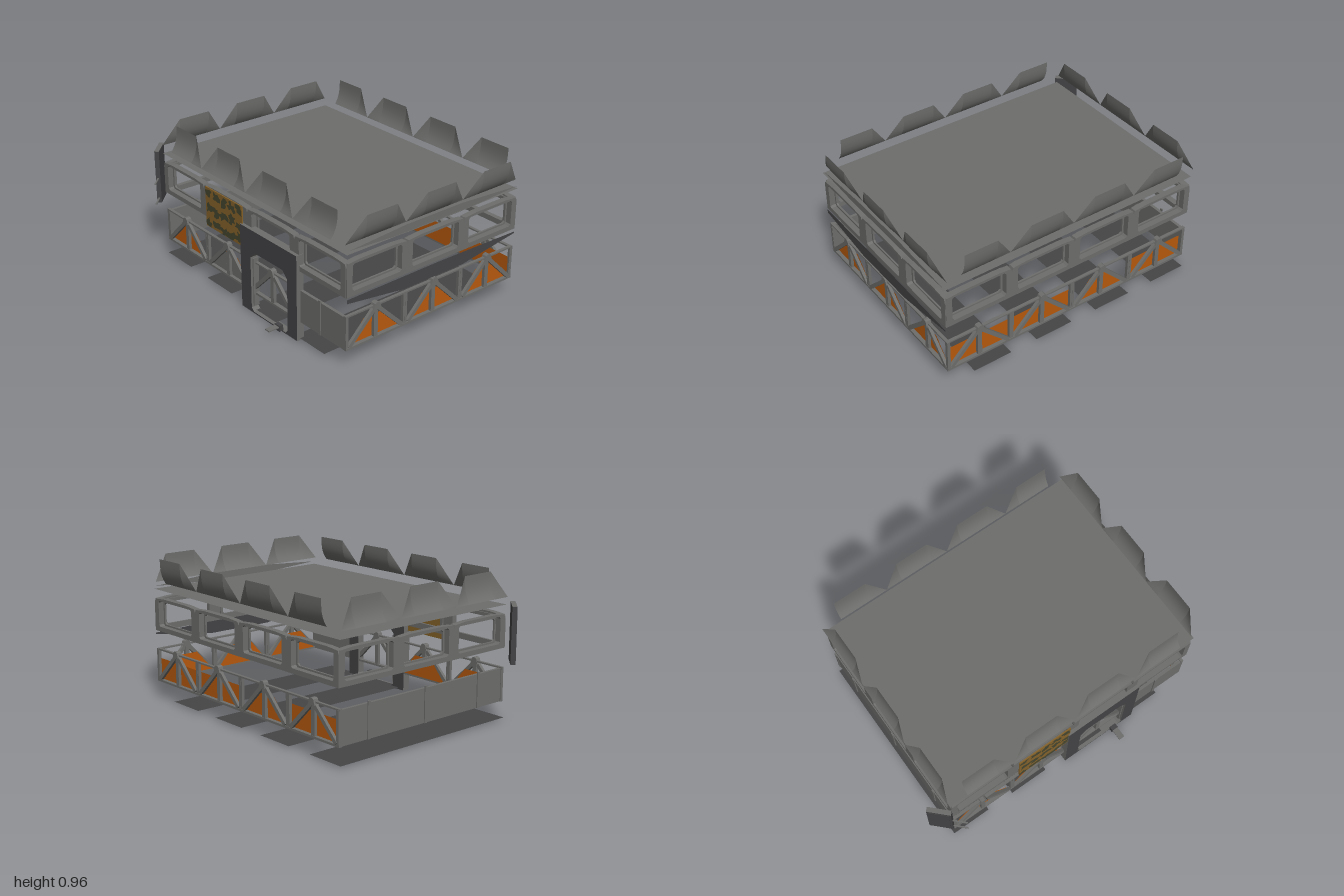
import * as THREE from 'three';

const mat = (name, color) => {
  const m = new THREE.MeshStandardMaterial({ color, side: THREE.DoubleSide });
  m.name = name;
  return m;
};

export function createModel() {
  const model = new THREE.Group();
  model.name = 'modularBuildingKit';
  const steel = mat('steel grey', 0x6e6e6c);
  const dark = mat('dark frame', 0x444446);
  const floorMat = mat('floor charcoal', 0x454547);
  const orange = mat('orange panel', 0xb85a0e);
  const ochre = mat('ochre', 0x86632a);
  const green = mat('dark green', 0x45462f);

  const add = (parent, name, geo, material, x = 0, y = 0, z = 0) => {
    const m = new THREE.Mesh(geo, material);
    m.name = name;
    m.position.set(x, y, z);
    parent.add(m);
    return m;
  };
  const box = (p, name, material, w, h, d, x, y, z) =>
    add(p, name, new THREE.BoxGeometry(w, h, d), material, x, y, z);
  const vec = pts => pts.map(q => new THREE.Vector2(q[0], q[1]));
  const poly = pts => new THREE.Shape(vec(pts));
  const extrude = (shape, depth) => new THREE.ExtrudeGeometry(shape, { depth, bevelEnabled: false });
  // rectangle with cut corners, c at the bottom and t at the top
  const cutRect = (x0, y0, x1, y1, c, t = c) => [[x0 + c, y0], [x1 - c, y0], [x1, y0 + c],
    [x1, y1 - t], [x1 - t, y1], [x0 + t, y1], [x0, y1 - t], [x0, y0 + c]];
  // flat bar between two points of a wall
  const bar = (p, name, a, b, w, d, z) => {
    const m = box(p, name, steel, Math.hypot(b[0] - a[0], b[1] - a[1]), w, d,
      (a[0] + b[0]) / 2, (a[1] + b[1]) / 2, z);
    m.rotation.z = Math.atan2(b[1] - a[1], b[0] - a[0]);
  };
  // thin horizontal sheet
  const sheet = (p, name, material, w, d, x, y, z) => {
    const m = add(p, name, new THREE.PlaneGeometry(w, d), material, x, y, z);
    m.rotation.x = -Math.PI / 2;
  };

  const W = 0.456; // width of one wall module

  // open truss module with posts, diagonals and top bracket
  function truss(p, u) {
    const c = u + W / 2;
    bar(p, 'bottomRail', [u, 0.125], [u + W, 0.125], 0.014, 0.025, -0.015);
    bar(p, 'topRail', [u, 0.337], [u + W, 0.337], 0.01, 0.02, -0.015);
    bar(p, 'centrePost', [c, 0.12], [c, 0.34], 0.03, 0.02, -0.015);
    for (const s of [-1, 1]) {
      bar(p, 'endPost', [c + s * (W / 2 - 0.008), 0.12], [c + s * (W / 2 - 0.008), 0.34], 0.015, 0.02, -0.015);
      bar(p, 'diagonal', [c, 0.335], [c + s * (W / 2 - 0.025), 0.135], 0.026, 0.02, -0.01);
    }
    const bracket = poly([[-0.03, 0.32], [0.03, 0.32], [0.018, 0.355], [0.008, 0.362], [-0.008, 0.362], [-0.018, 0.355]]);
    add(p, 'topBracket', extrude(bracket, 0.035), steel, c, 0, -0.028);
  }

  // infill sheet, either a full rectangle or cut along the diagonals
  function infill(p, u, full, material, z) {
    const pts = full ? [[0.01, 0.13], [W - 0.01, 0.13], [W - 0.01, 0.27], [0.01, 0.27]]
      : [[0.03, 0.13], [W - 0.03, 0.13], [W / 2 + 0.075, 0.27], [W / 2 - 0.075, 0.27]];
    add(p, 'infillSheet', new THREE.ShapeGeometry(poly(pts)), material, u, 0, z);
  }

  // plain closed wall module
  function plate(p, u) {
    box(p, 'closedPanel', steel, W, 0.215, 0.02, u + W / 2, 0.2275, -0.015);
    bar(p, 'panelRib', [u + W / 2, 0.12], [u + W / 2, 0.35], 0.02, 0.008, -0.002);
  }

  // window frame with a narrower lip set behind it
  function windowFrame(p, u) {
    const s = poly([[0, 0.465], [W, 0.465], [W, 0.655], [W - 0.008, 0.678],
      [W - 0.1, 0.686], [0.1, 0.686], [0.008, 0.678], [0, 0.655]]);
    s.holes.push(new THREE.Path(vec(cutRect(0.042, 0.496, W - 0.042, 0.668, 0.012))));
    add(p, 'windowFrame', extrude(s, 0.04), steel, u, 0, -0.04);
    const lip = poly(cutRect(0.036, 0.49, W - 0.036, 0.674, 0.012));
    lip.holes.push(new THREE.Path(vec(cutRect(0.055, 0.507, W - 0.055, 0.652, 0.012))));
    add(p, 'windowLip', extrude(lip, 0.012), steel, u, 0, -0.05);
  }

  // strip of surface between two edges, each a list of points
  function strip(p, e, f) {
    const g = new THREE.BufferGeometry();
    const index = [];
    for (let i = 0; i < e.length - 1; i++)
      index.push(2 * i, 2 * i + 1, 2 * i + 3, 2 * i, 2 * i + 3, 2 * i + 2);
    g.setAttribute('position', new THREE.Float32BufferAttribute(e.flatMap((v, i) => [...v, ...f[i]]), 3));
    g.setIndex(index);
    g.computeVertexNormals();
    add(p, 'roofFlap', g, steel);
  }

  // curved roof-edge flap with a tapering wing on each side
  function flap(p, u, left, right, base, lean) {
    const rows = [0, 0.08, 0.2, 0.35, 0.55, 0.78, 1];
    const edge = (x0, x1, curved) => rows.map(t => [x0 + (x1 - x0) * t, 0.79 + 0.167 * t,
      base + lean * (curved ? 1 - (1 - t) ** 3 : t)]);
    const a = u + 0.115, b = u + W - 0.115;
    const ea = edge(a, a, true), eb = edge(b, b, true);
    strip(p, ea, eb);
    if (left) strip(p, edge(u, a, false), ea);
    if (right) strip(p, eb, edge(u + W, b, false));
  }

  // walls: local x runs along the wall, local +z points outwards
  const walls = [
    { name: 'frontWall', turn: 0, off: 0.64, u: -0.86, n: 4, base: 0.012, lean: -0.05 },
    { name: 'leftSideWall', turn: Math.PI / 2, off: 0.97, u: -0.635, n: 3, base: -0.02, lean: 0.05 },
    { name: 'backWall', turn: Math.PI, off: 0.735, u: -0.965, n: 4, base: -0.015, lean: 0.042 },
    { name: 'rightSideWall', turn: -Math.PI / 2, off: 0.86, u: -0.733, n: 3, base: 0.015, lean: -0.045 },
  ];
  walls.forEach((w, k) => {
    const g = new THREE.Group();
    g.name = w.name;
    g.rotation.y = w.turn;
    g.position.set(Math.sin(w.turn) * w.off, 0, Math.cos(w.turn) * w.off);
    model.add(g);
    for (let i = 0; i < w.n; i++) {
      const u = w.u + i * W;
      windowFrame(g, u);
      flap(g, u, w.n === 3 || i > 0, w.n === 3 || i < 3, w.base, w.lean);
      if (k === 3 || (k === 0 && i === 3)) plate(g, u);
      else truss(g, u);
      if (k === 1 || (k === 0 && i < 2)) infill(g, u, false, orange, -0.028);
      if (k === 0 && i === 1) infill(g, u, false, steel, -0.024);
      if (k === 2) infill(g, u, i !== 2, orange, -0.028);
    }
  });

  // roof sheet and floor strips
  sheet(model, 'roofSheet', steel, 1.84, 1.37, 0.055, 0.74, -0.045);
  for (let i = 0; i < 4; i++)
    sheet(model, 'floorStrip', floorMat, 0.27, 1.37, -0.735 + i * 0.46, 0.012, -0.045);

  // long tapered sheets along one side
  const sheets = [
    [steel, [[0.62, 0.76], [0.2, 0.735], [-0.25, 0.735], [-0.73, 0.757], [-0.25, 0.787], [0.2, 0.787]]],
    [floorMat, [[0.635, 0.455], [0.635, 0.43], [0.2, 0.37], [-0.28, 0.37], [-0.73, 0.435], [-0.73, 0.445], [-0.1, 0.457]]],
  ];
  for (const [material, s] of sheets) {
    const m = add(model, 'taperedSheet', new THREE.ShapeGeometry(poly(s.map(q => [-q[0], q[1]]))), material, 0.972, 0, 0);
    m.rotation.y = Math.PI / 2;
  }

  // door surround with sill, inner trim and step lever
  const door = new THREE.Group();
  door.name = 'doorway';
  model.add(door);
  const ds = poly([[0.005, 0], [0.555, 0], [0.555, 0.57], [0.005, 0.57]]);
  ds.holes.push(new THREE.Path(vec(cutRect(0.105, 0.008, 0.465, 0.425, 0.022, 0.045))));
  add(door, 'doorSurround', extrude(ds, 0.052), [dark, steel], 0, 0, 0.611);
  for (const x of [0.112, 0.458])
    box(door, 'doorTrim', steel, 0.008, 0.33, 0.04, x, 0.205, 0.63);
  box(door, 'leverBlock', dark, 0.045, 0.04, 0.03, 0.395, 0.03, 0.675);
  box(door, 'lever', steel, 0.04, 0.008, 0.09, 0.395, 0.038, 0.72);

  // painted board with irregular patches
  const board = new THREE.Group();
  board.name = 'paintedBoard';
  model.add(board);
  box(board, 'board', ochre, 0.385, 0.27, 0.008, -0.175, 0.55, 0.65);
  let seed = 11;
  const rnd = () => (seed = (seed * 16807) % 2147483647) / 2147483647;
  for (let i = 0; i < 15; i++) {
    const cx = -0.335 + (i % 5) * 0.08, cy = 0.46 + Math.floor(i / 5) * 0.09 + (rnd() - 0.5) * 0.04;
    const pts = [];
    for (let j = 0; j < 12; j++) {
      const a = j / 12 * Math.PI * 2, r = 0.012 + rnd() * 0.036;
      pts.push([THREE.MathUtils.clamp(cx + Math.cos(a) * r * 1.2, -0.367, 0.017),
        THREE.MathUtils.clamp(cy + Math.sin(a) * r, 0.416, 0.684)]);
    }
    add(board, 'paintPatch', new THREE.ShapeGeometry(poly(pts)), green, 0, 0, 0.6555);
  }

  // loose door leaf standing at the corner, turned, with two hinge pins
  const leaf = new THREE.Group();
  leaf.name = 'looseLeaf';
  leaf.position.set(-0.935, 0, 0.625);
  leaf.rotation.y = -Math.PI / 4;
  model.add(leaf);
  box(leaf, 'leaf', dark, 0.15, 0.365, 0.03, 0, 0.5725, 0);
  box(leaf, 'leafFace', dark, 0.125, 0.33, 0.004, 0, 0.5725, 0.016);
  box(leaf, 'leafTop', steel, 0.15, 0.004, 0.03, 0, 0.756, 0);
  for (const y of [0.423, 0.563])
    box(leaf, 'hingePin', steel, 0.095, 0.008, 0.01, 0.12, y, 0);

  return model;
}
